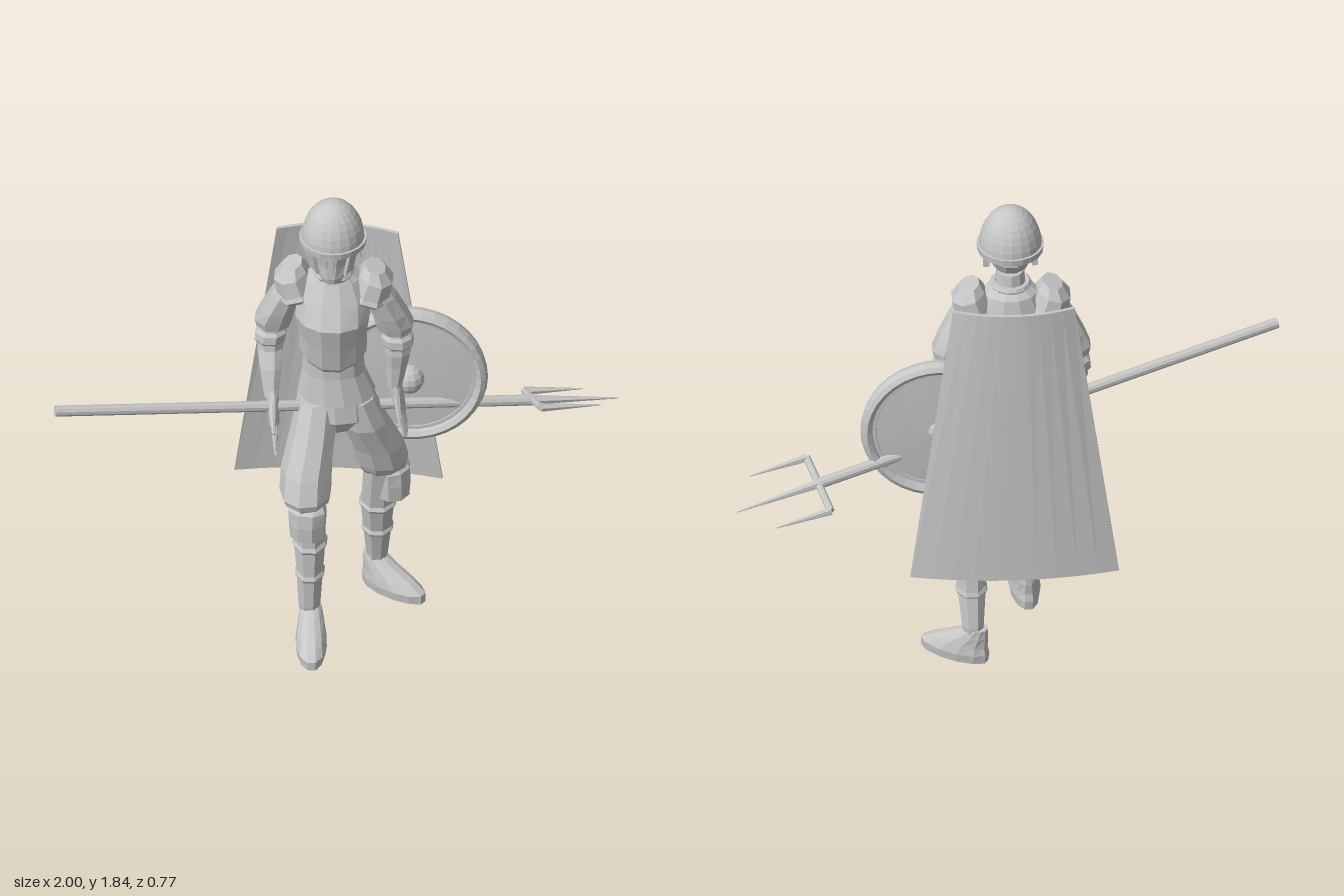
import * as THREE from 'three';

const steel = new THREE.MeshStandardMaterial({ color: 0xc6c6c6, flatShading: true });
steel.name = 'pale grey';
const CX = -0.01; // body centre line

function mesh(name, geometry, parent, x = 0, y = 0, z = 0) {
  const m = new THREE.Mesh(geometry, steel);
  m.name = name;
  m.position.set(x, y, z);
  parent.add(m);
  return m;
}

// Closed solid through elliptical rings [y, cx, cz, rx, rz, dip], listed bottom to top.
// dip lowers the ring at its front and back.
function loft(rings, n = 10) {
  const pos = [], idx = [];
  for (const [y, cx, cz, rx, rz, dip = 0] of rings) {
    for (let i = 0; i < n; i++) {
      const a = (i + 0.5) / n * Math.PI * 2, s = Math.sin(a);
      pos.push(cx + rx * Math.cos(a), y - dip * s * s, cz + rz * s);
    }
  }
  for (let r = 0; r < rings.length - 1; r++) {
    for (let i = 0; i < n; i++) {
      const a = r * n + i, b = r * n + (i + 1) % n;
      idx.push(a, a + n, b, b, a + n, b + n);
    }
  }
  const top = (rings.length - 1) * n;
  for (let i = 1; i < n - 1; i++) {
    idx.push(0, i, i + 1);
    idx.push(top, top + i + 1, top + i);
  }
  const g = new THREE.BufferGeometry();
  g.setAttribute('position', new THREE.Float32BufferAttribute(pos, 3));
  g.setIndex(idx);
  g.computeVertexNormals();
  return g;
}

// Tapered rod from point a to point b.
function rod(name, a, b, r0, r1, parent, sides = 8) {
  const A = new THREE.Vector3(...a), B = new THREE.Vector3(...b), d = B.clone().sub(A);
  const m = mesh(name, new THREE.CylinderGeometry(r1, r0, d.length(), sides), parent);
  m.position.copy(A).add(B).multiplyScalar(0.5);
  m.quaternion.setFromUnitVectors(new THREE.Vector3(0, 1, 0), d.normalize());
  return m;
}

function buildHead(root) {
  mesh('neck', loft([[1.46, CX, 0.01, 0.06, 0.06], [1.58, CX, 0.02, 0.052, 0.058]]), root);
  mesh('head', loft([
    [1.535, CX, 0.08, 0.035, 0.035], [1.56, CX, 0.066, 0.05, 0.056], [1.61, CX, 0.03, 0.07, 0.092],
    [1.65, CX, 0.022, 0.083, 0.108], [1.72, CX, 0.022, 0.095, 0.105]], 12), root);
  const dome = mesh('helmet', new THREE.SphereGeometry(0.115, 20, 8, 0, Math.PI * 2, 0, Math.PI / 2), root, CX, 1.68, 0.024);
  dome.scale.y = 1.4;
  const rim = new THREE.CylinderGeometry(0.123, 0.12, 0.025, 20);
  mesh('helmetRim', rim, root, CX, 1.678, 0.024);
  mesh('noseGuard', new THREE.BoxGeometry(0.02, 0.09, 0.018), root, CX, 1.635, 0.136);
  for (const s of [-1, 1]) {
    mesh('ear', new THREE.BoxGeometry(0.022, 0.07, 0.035), root, CX + s * 0.088, 1.635, 0.02);
    const cheek = mesh('cheekGuard', new THREE.BoxGeometry(0.012, 0.1, 0.05), root, CX + s * 0.068, 1.625, 0.09);
    cheek.rotation.set(0, -s * 0.5, -s * 0.2);
  }
}

function buildTorso(root) {
  mesh('breastplate', loft([
    [1.18, CX, 0.018, 0.118, 0.085, 0.05], [1.2, CX, 0.02, 0.126, 0.1, 0.05], [1.27, CX, 0.025, 0.125, 0.115, 0.02],
    [1.35, CX, 0.03, 0.138, 0.132], [1.43, CX, 0.01, 0.135, 0.112], [1.5, CX, 0, 0.1, 0.085], [1.53, CX, 0.01, 0.062, 0.062]], 12), root);
  mesh('tunic', loft([
    [0.975, CX + 0.01, 0.0, 0.125, 0.085, 0.01], [0.985, CX + 0.01, 0.0, 0.145, 0.107, 0.01],
    [1.09, CX, 0.01, 0.116, 0.084], [1.2, CX, 0.015, 0.11, 0.08]], 12), root);
  mesh('pelvis', loft([
    [0.84, 0.005, 0.01, 0.06, 0.06], [0.9, 0.005, 0.005, 0.13, 0.1], [1.0, 0, 0, 0.132, 0.097]], 10), root);
  const collar = mesh('collar', new THREE.TorusGeometry(0.063, 0.014, 6, 14), root, CX, 1.525, 0.01);
  collar.rotation.x = Math.PI / 2;
  for (const s of [-1, 1]) {
    const pad = mesh('shoulderGuard', loft([
      [-0.065, 0, 0, 0.07, 0.092], [-0.05, 0, 0, 0.08, 0.102], [-0.035, 0, 0, 0.072, 0.094],
      [0.03, 0, 0, 0.066, 0.086], [0.065, -s * 0.015, 0, 0.04, 0.055]], 8), root, CX + s * 0.148, 1.47, -0.01);
    pad.rotation.z = -s * 0.28;
  }
}

// Hand hanging along -y with the fingers side by side along z.
function buildHand(name, root, x, y, z, tiltX, tiltZ) {
  const g = new THREE.Group();
  g.name = name;
  g.position.set(x, y, z);
  g.rotation.set(tiltX, 0, tiltZ);
  mesh('palm', loft([[-0.115, 0, 0, 0.018, 0.045], [-0.06, 0, 0, 0.022, 0.045], [0.01, 0, 0, 0.024, 0.028]], 8), g);
  for (let i = 0; i < 4; i++) {
    const f = -0.032 + i * 0.021;
    rod('finger', [0, -0.1, f], [0, -0.205 - (i % 3 ? 0.022 : 0), f * 1.35], 0.012, 0.006, g, 6);
  }
  rod('thumb', [0, -0.04, 0.03], [0, -0.14, 0.075], 0.014, 0.006, g, 6);
  root.add(g);
}

function buildArm(root, s, wristZ) {
  const X = d => CX + s * d;
  mesh('upperArm', loft([
    [1.235, X(0.222), -0.035, 0.045, 0.045], [1.245, X(0.222), -0.035, 0.062, 0.062], [1.275, X(0.22), -0.032, 0.072, 0.068],
    [1.33, X(0.203), -0.025, 0.066, 0.074], [1.41, X(0.17), -0.015, 0.058, 0.074], [1.48, X(0.135), -0.01, 0.045, 0.065]], 8), root);
  mesh('forearm', loft([
    [0.99, X(0.22), wristZ, 0.027, 0.03], [1.09, X(0.227), (wristZ - 0.04) / 2, 0.042, 0.044],
    [1.15, X(0.231), -0.03, 0.05, 0.05], [1.26, X(0.225), -0.035, 0.045, 0.046]], 8), root);
  mesh('elbowGuard', loft([
    [1.17, X(0.232), -0.035, 0.05, 0.05], [1.185, X(0.232), -0.035, 0.06, 0.06],
    [1.215, X(0.228), -0.036, 0.06, 0.06], [1.23, X(0.225), -0.036, 0.048, 0.048]], 8), root);
}

// leg: rings for the trousers and shin; knee and foot placements with a yaw.
function buildLeg(root, side, leg) {
  const g = new THREE.Group();
  g.name = side + 'Leg';
  mesh('trouserLeg', loft(leg.thigh, 9), g);
  mesh('shin', loft(leg.shin, 8), g);
  // raised bands on the greave
  for (const [y, cx, cz, rx, rz] of leg.shin.slice(2, 4)) {
    mesh('greaveBand', loft([
      [y - 0.012, cx, cz, rx, rz, 0.015], [y, cx, cz, rx * 1.12, rz * 1.12, 0.015], [y + 0.015, cx, cz, rx, rz, 0.015]], 8), g);
  }
  const knee = mesh('kneeGuard', loft([
    [-0.08, 0, -0.01, 0.045, 0.04], [-0.062, 0, 0, 0.065, 0.056], [0.0, 0, 0, 0.07, 0.06],
    [0.055, 0, 0, 0.072, 0.056], [0.08, 0, -0.01, 0.06, 0.04]], 8), g, ...leg.knee);
  knee.rotation.y = leg.yaw;
  const foot = mesh('foot', loft([
    [0, 0, 0.092, 0.052, 0.135], [0.035, 0, 0.09, 0.058, 0.137], [0.065, 0, 0.07, 0.053, 0.11],
    [0.105, 0, 0.028, 0.045, 0.07], [0.14, 0, 0, 0.036, 0.04]], 12), g, ...leg.foot);
  foot.rotation.y = leg.footYaw;
  root.add(g);
}

function buildShield(root) {
  const g = new THREE.Group();
  g.name = 'shield';
  g.position.set(0.255, 0.985, -0.12);
  const disc = mesh('shieldDisc', new THREE.LatheGeometry([[0, -0.018], [0.15, -0.014], [0.26, -0.008],
    [0.26, 0.008], [0.15, 0.014], [0, 0.018]].map(p => new THREE.Vector2(...p)), 32), g);
  disc.rotation.x = Math.PI / 2;
  const rim = mesh('shieldRim', new THREE.TorusGeometry(0.264, 0.023, 8, 36), g);
  rim.scale.z = 1.5;
  mesh('shieldInnerRim', new THREE.TorusGeometry(0.238, 0.014, 6, 36), g);
  mesh('shieldBoss', new THREE.SphereGeometry(0.058, 12, 8), g, 0, -0.01, 0.02);
  root.add(g);
}

function buildTrident(root) {
  const g = new THREE.Group();
  g.name = 'trident';
  const hub = [0.7, 0.818, -0.213], high = [0.735, 0.862, -0.108], low = [0.66, 0.775, -0.325];
  rod('shaft', [-0.995, 1.08, 0.337], hub, 0.02, 0.02, g, 10);
  rod('crossbar', high, low, 0.014, 0.014, g);
  rod('middleTine', hub, [1.0, 0.772, -0.31], 0.018, 0.002, g, 6);
  rod('upperTine', high, [0.945, 0.836, -0.176], 0.016, 0.002, g, 6);
  rod('lowerTine', low, [0.865, 0.75, -0.388], 0.016, 0.002, g, 6);
  root.add(g);
}

function buildCape(root) {
  // flat slab widened toward the hem and bowed backward
  const geo = new THREE.BoxGeometry(1, 1, 1, 10, 1, 1), p = geo.attributes.position;
  for (let i = 0; i < p.count; i++) {
    const u = p.getX(i), v = p.getY(i) + 0.5, bow = 4 * u * u;
    p.setXYZ(i, CX + u * (0.755 - 0.315 * v), 0.425 + 1.125 * v,
      -0.293 + 0.05 * v + 0.042 * bow + p.getZ(i) * 0.014);
  }
  geo.computeVertexNormals();
  mesh('cape', geo, root);
}

export function createModel() {
  const root = new THREE.Group();
  root.name = 'armouredGuard';
  buildHead(root);
  buildTorso(root);
  buildArm(root, -1, 0.06);
  buildArm(root, 1, -0.03);
  buildHand('rightHand', root, -0.228, 1.0, 0.06, -0.45, 0.1);
  buildHand('leftHand', root, 0.212, 1.0, -0.03, 0, 0.18);
  buildLeg(root, 'right', {
    thigh: [[0.585, -0.095, 0.15, 0.06, 0.08], [0.61, -0.098, 0.148, 0.088, 0.108], [0.635, -0.1, 0.146, 0.096, 0.118],
      [0.72, -0.098, 0.12, 0.094, 0.11], [0.85, -0.078, 0.06, 0.085, 0.1], [0.97, -0.065, 0.015, 0.075, 0.085]],
    shin: [[0.1, -0.085, 0.163, 0.034, 0.038], [0.15, -0.085, 0.163, 0.042, 0.047], [0.29, -0.084, 0.16, 0.051, 0.058],
      [0.42, -0.084, 0.156, 0.06, 0.066], [0.6, -0.088, 0.15, 0.06, 0.075]],
    knee: [-0.09, 0.535, 0.2], yaw: -0.1, foot: [-0.08, 0, 0.162], footYaw: 0.08,
  });
  buildLeg(root, 'left', {
    thigh: [[0.585, 0.155, -0.08, 0.065, 0.06], [0.61, 0.16, -0.078, 0.09, 0.08], [0.635, 0.16, -0.075, 0.1, 0.09],
      [0.72, 0.145, -0.055, 0.097, 0.094], [0.85, 0.1, -0.015, 0.088, 0.098], [0.97, 0.065, 0, 0.075, 0.085]],
    shin: [[0.1, 0.132, -0.175, 0.034, 0.036], [0.15, 0.137, -0.168, 0.042, 0.042], [0.29, 0.14, -0.135, 0.055, 0.051],
      [0.42, 0.143, -0.108, 0.065, 0.06], [0.6, 0.155, -0.075, 0.065, 0.065]],
    knee: [0.203, 0.535, -0.082], yaw: 1.0, foot: [0.122, 0, -0.178], footYaw: 1.02,
  });
  buildShield(root);
  buildTrident(root);
  buildCape(root);
  return root;
}
